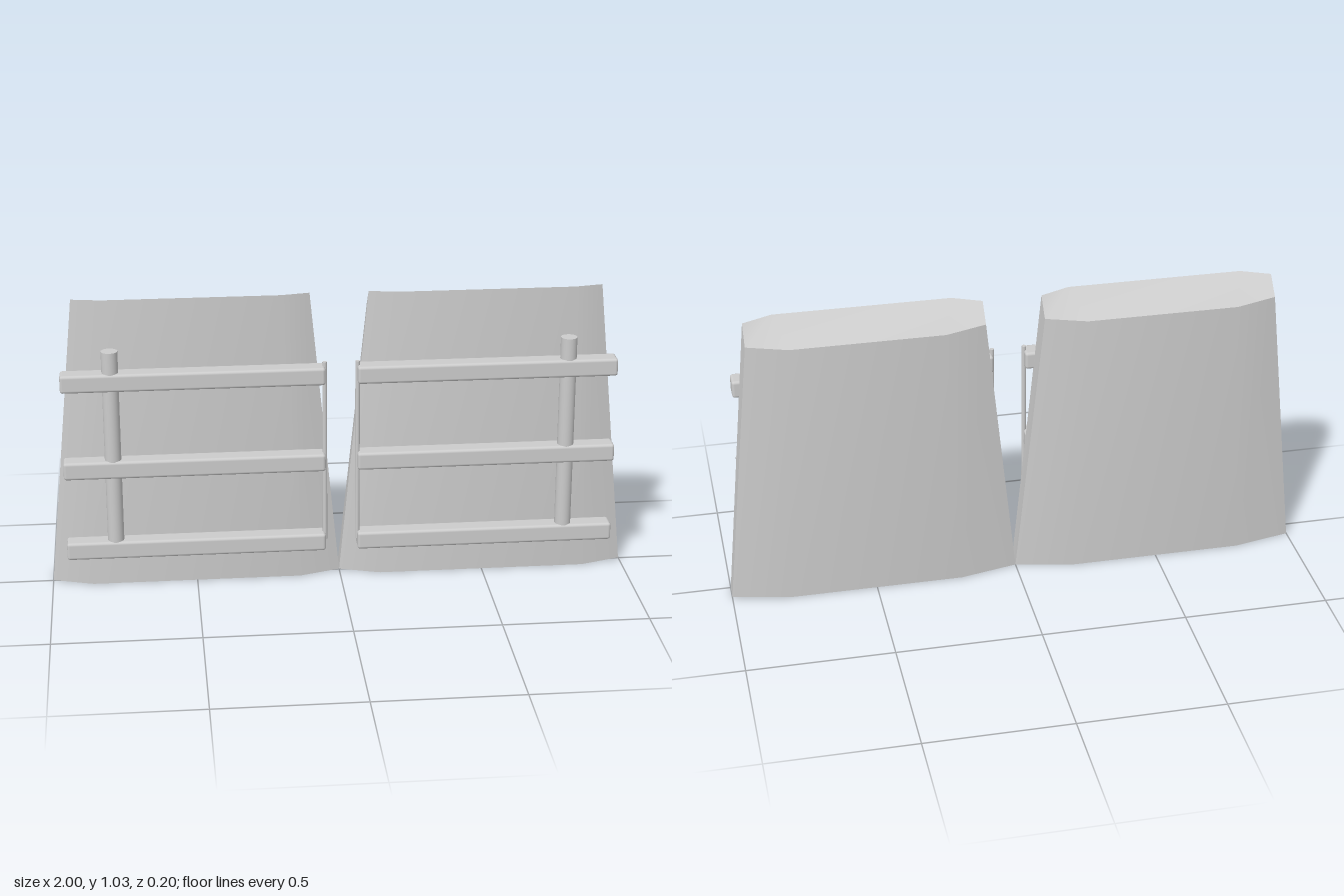
import * as THREE from 'three';
import { toCreasedNormals } from 'three/addons/utils/BufferGeometryUtils.js';
import { RoundedBoxGeometry } from 'three/addons/geometries/RoundedBoxGeometry.js';

// Tapered slab with bevelled sides, lofted between two eight-sided sections.
function panelGeometry() {
  // right half of a section, front to back: [x, y, z]
  const ring = (half) => [
    ...half.slice(0, 1).map(([x, y, z]) => [-x, y, z]),
    ...half,
    ...half.slice(1).reverse().map(([x, y, z]) => [-x, y, z]),
  ];
  const bottom = ring([[0.36, 0, 0.042], [0.5, 0, -0.003], [0.5, 0, -0.06], [0.3, 0, -0.102]]);
  const top = ring([[0.3, 1.027, 0.032], [0.4, 1.022, -0.002], [0.4, 0.962, -0.058], [0.26, 0.955, -0.092]]);
  const positions = [];
  const quad = (a, b, c, d) => positions.push(...a, ...b, ...c, ...a, ...c, ...d);
  for (let i = 0; i < 8; i++) {
    const j = (i + 1) % 8;
    quad(bottom[i], bottom[j], top[j], top[i]);
  }
  // end caps: a middle quad and one at each side
  for (const [a, b, c, d] of [[0, 1, 4, 5], [1, 2, 3, 4], [0, 5, 6, 7]]) {
    quad(top[a], top[b], top[c], top[d]);
    quad(bottom[d], bottom[c], bottom[b], bottom[a]);
  }
  const geometry = new THREE.BufferGeometry();
  geometry.setAttribute('position', new THREE.Float32BufferAttribute(positions, 3));
  return toCreasedNormals(geometry, 0.6);
}

export function createModel() {
  const model = new THREE.Group();
  model.name = 'doublePanelGate';
  const grey = new THREE.MeshStandardMaterial({ color: 0xcccccc });
  grey.name = 'plain grey';

  const panel = panelGeometry();
  const rail = new RoundedBoxGeometry(0.89, 0.062, 0.068, 2, 0.01);
  const post = new THREE.CylinderGeometry(0.028, 0.028, 0.712, 24);
  const rod = new THREE.CylinderGeometry(0.008, 0.008, 0.65, 12);

  for (const side of [-1, 1]) {
    const leaf = new THREE.Group();
    leaf.name = side < 0 ? 'rightLeaf' : 'leftLeaf';
    const add = (name, geometry, x, y, z) => {
      const mesh = new THREE.Mesh(geometry, grey);
      mesh.name = name;
      mesh.position.set(side * x, y, z);
      leaf.add(mesh);
    };
    add('panel', panel, 0.5, 0, 0);
    // three horizontal rails carried on the front
    [0.149, 0.444, 0.756].forEach((y, i) => add('rail' + (i + 1), rail, 0.5, y, 0.069));
    // thick outer post and thin inner rod
    add('outerPost', post, 0.777, 0.506, 0.072);
    add('innerRod', rod, 0.056, 0.475, 0.07);
    model.add(leaf);
  }
  return model;
}
